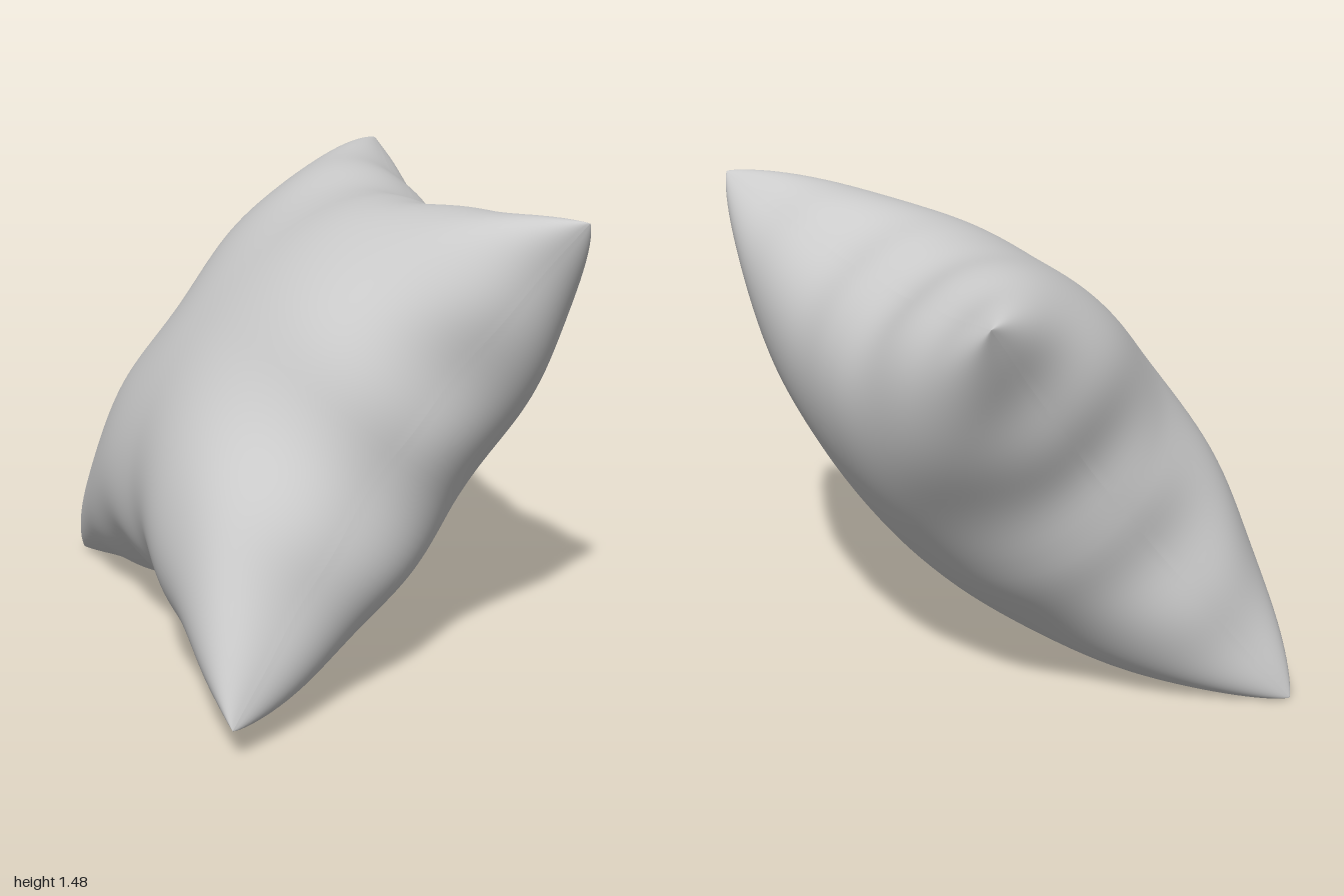
import * as THREE from 'three';

// Seam corners of the cushion
const A = new THREE.Vector3(0.68, 1.48, 0.73);   // upper front
const B = new THREE.Vector3(0.41, 1.39, -1.0);   // upper back
const C = new THREE.Vector3(-0.40, 0.11, 1.0);   // lower front
const D = new THREE.Vector3(-0.68, 0.01, -0.74); // lower back
const N = A.clone().sub(D).cross(C.clone().sub(B)).normalize();
const HALF_THICKNESS = 0.475;

// Point on the seam plane; s runs lower to upper edge, t back to front
function seamPlane(s, t) {
  const top = B.clone().lerp(A, (t + 1) / 2);
  const bottom = D.clone().lerp(C, (t + 1) / 2);
  return bottom.lerp(top, (s + 1) / 2);
}

// Edges are drawn in towards the middle, with a small puckering along the seam
function pinch(a, b, phase) {
  const pull = 1 - Math.pow(Math.abs(b), 1.5);
  const pucker = 0.013 * Math.sin(13 * b + phase) * (1 - b * b) * Math.pow(Math.abs(a), 6);
  return a * (1 - 0.195 * pull + pucker);
}

// Soft folds that start at an edge and fade towards the middle
function folds(a, b, phase, size) {
  return size * Math.pow(Math.abs(a), 3) * (1 - b * b) * Math.sin(8 * b + phase + a);
}

function sheet(name, side, material) {
  const geometry = new THREE.PlaneGeometry(2, 2, 80, 80);
  const pos = geometry.attributes.position;
  for (let i = 0; i < pos.count; i++) {
    // rows are packed closer near the edges; the second sheet is mirrored to face out
    const s = side * Math.sin(pos.getX(i) * Math.PI / 2);
    const t = Math.sin(pos.getY(i) * Math.PI / 2);
    const room = (1 - Math.pow(Math.abs(s), 2.3)) * (1 - Math.pow(Math.abs(t), 2.3));
    const puff = HALF_THICKNESS * Math.pow(Math.max(room, 0), 0.42);
    const wrinkle = 1 + folds(s, t, side, 0.05) + folds(t, s, 2 * side + 1, 0.1);
    const p = seamPlane(pinch(s, t, s > 0 ? 1 : 3), pinch(t, s, t > 0 ? 0 : 2));
    p.addScaledVector(N, side * puff * wrinkle);
    pos.setXYZ(i, p.x, p.y, p.z);
  }
  geometry.computeVertexNormals();
  const mesh = new THREE.Mesh(geometry, material);
  mesh.name = name;
  return mesh;
}

export function createModel() {
  const group = new THREE.Group();
  group.name = 'cushion';
  const material = new THREE.MeshStandardMaterial({ color: 0xcccccc, side: THREE.DoubleSide });
  group.add(sheet('lowerCover', 1, material), sheet('upperCover', -1, material));
  return group;
}
